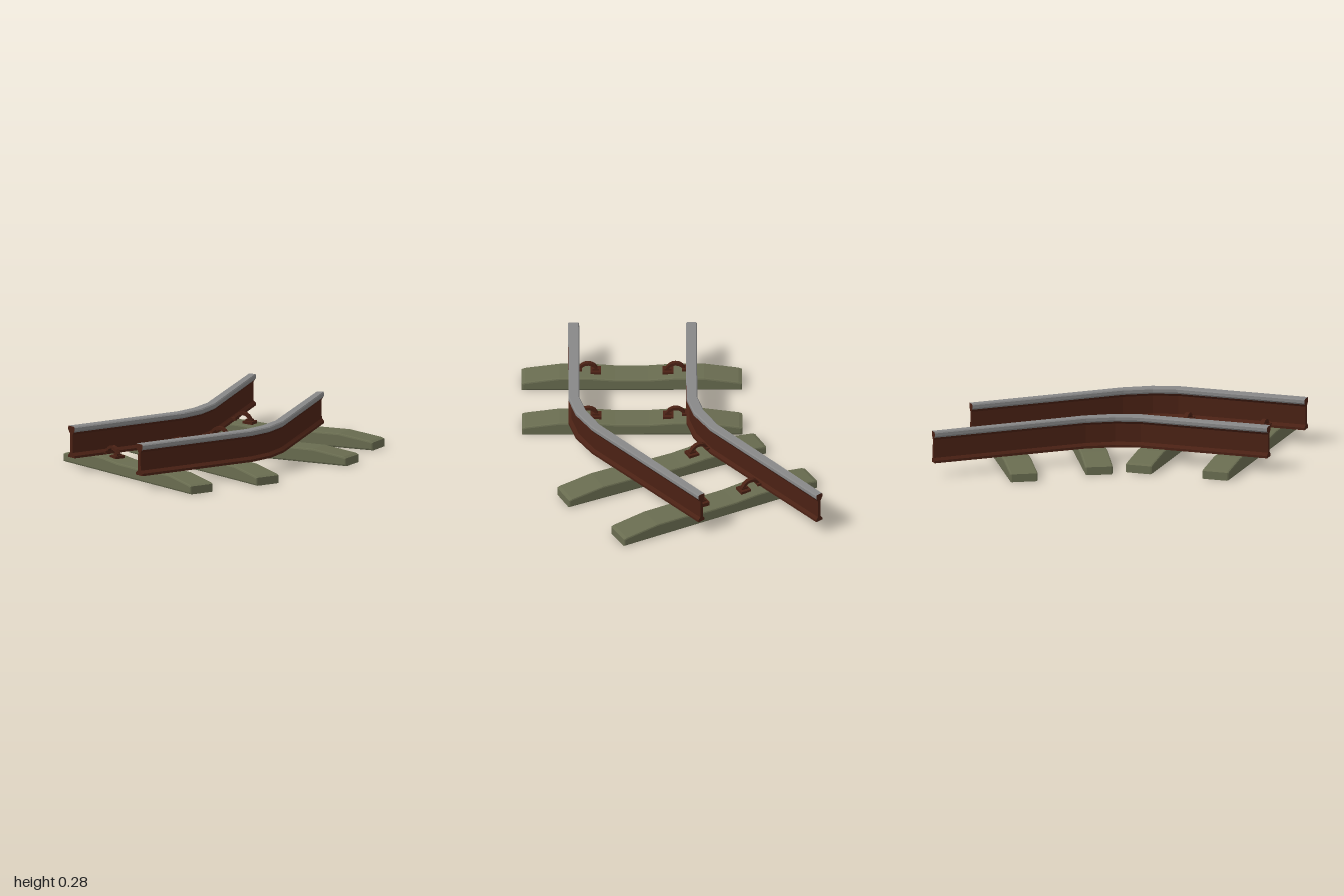
import * as THREE from 'three';

const paint = (color) => new THREE.MeshStandardMaterial({ color, flatShading: true });
const rust = paint(0x4a2114);
const steel = paint(0x888888);
const concrete = paint(0x696c50);

// Track centre of one rail: x, z, width factor
const railPath = [
  [-1, 0, 1], [-0.2, 0, 1], [-0.05, -0.04, 1], [0.11, -0.13, 0.87], [0.85, -0.755, 0.72],
];

// Rail cross-section: right half from foot to top, then mirrored
const half = [
  [0.033, 0.085], [0.033, 0.099], [0.014, 0.115], [0.012, 0.225],
  [0.024, 0.24], [0.033, 0.25], [0.033, 0.268], [0.027, 0.275],
];
const section = [...half, ...half.map(([u, v]) => [-u, v]).reverse()];
const HEAD_START = 4, HEAD_END = 11;

// Places the section at every path point, square to the bend
function railRings() {
  return railPath.map(([x, z, w], i) => {
    const dir = new THREE.Vector2();
    for (const [a, b] of [[i - 1, i], [i, i + 1]]) {
      if (a < 0 || b >= railPath.length) continue;
      const step = new THREE.Vector2(railPath[b][0] - railPath[a][0], railPath[b][1] - railPath[a][1]);
      dir.add(step.normalize());
    }
    dir.normalize();
    return section.map(([u, v]) => [x - dir.y * u * w, v, z + dir.x * u * w]);
  });
}

// Skins the chosen section edges along the path, with optional end caps
function loft(useEdge, caps) {
  const rings = railRings(), n = section.length, pos = [];
  const tri = (a, b, c) => pos.push(...a, ...b, ...c);
  for (let i = 0; i < rings.length - 1; i++) {
    for (let j = 0; j < n; j++) {
      if (!useEdge(j)) continue;
      const k = (j + 1) % n, r = rings[i], s = rings[i + 1];
      tri(r[j], s[j], r[k]);
      tri(r[k], s[j], s[k]);
    }
  }
  if (caps) {
    const faces = THREE.ShapeUtils.triangulateShape(section.map(([u, v]) => new THREE.Vector2(u, v)), []);
    const last = rings[rings.length - 1];
    for (const [a, b, c] of faces) {
      tri(rings[0][a], rings[0][b], rings[0][c]);
      tri(last[a], last[c], last[b]);
    }
  }
  const geo = new THREE.BufferGeometry();
  geo.setAttribute('position', new THREE.Float32BufferAttribute(pos, 3));
  geo.computeVertexNormals();
  return geo;
}

// Extrudes a side profile (z, y) across x, centred
function sideExtrude(points, width, bevel) {
  const shape = new THREE.Shape(points.map(([z, y]) => new THREE.Vector2(z, y)));
  const geo = new THREE.ExtrudeGeometry(shape, {
    depth: width - 2 * bevel, bevelEnabled: bevel > 0, bevelSize: bevel,
    bevelThickness: bevel, bevelOffset: -bevel, bevelSegments: 2,
  });
  geo.translate(0, 0, -(width - 2 * bevel) / 2);
  return geo.rotateY(-Math.PI / 2);
}

function addMesh(parent, name, geo, mat) {
  const mesh = new THREE.Mesh(geo, mat);
  mesh.name = name;
  parent.add(mesh);
  return mesh;
}

// Sleeper with sloping ends and a shallow dip in the middle
const sleeperGeo = sideExtrude([
  [-0.655, 0], [0.655, 0], [0.655, 0.048], [0.635, 0.056], [0.43, 0.085], [0.25, 0.085], [0.1, 0.073],
  [-0.1, 0.073], [-0.25, 0.085], [-0.43, 0.085], [-0.635, 0.056], [-0.655, 0.048],
], 0.168, 0.01);

// Arched spring band of a clip, running towards +z
function archGeometry() {
  const outer = [], inner = [];
  for (let i = 0; i <= 8; i++) {
    const a = Math.PI * (1 - i / 8);
    outer.push([0.045 + 0.06 * Math.cos(a), 0.09 + 0.058 * Math.sin(a)]);
    inner.unshift([0.045 + 0.045 * Math.cos(a), 0.09 + 0.04 * Math.sin(a)]);
  }
  return sideExtrude([...outer, ...inner].reverse(), 0.026, 0);
}
const archGeo = archGeometry();

function makeClip() {
  const clip = new THREE.Group();
  clip.name = 'railClip';
  addMesh(clip, 'clipPlate', new THREE.BoxGeometry(0.068, 0.026, 0.064), rust).position.y = 0.083;
  addMesh(clip, 'clipSpring', archGeo, rust);
  addMesh(clip, 'clipFoot', new THREE.BoxGeometry(0.054, 0.014, 0.026), rust).position.set(0, 0.105, 0.095);
  addMesh(clip, 'clipPin', new THREE.BoxGeometry(0.03, 0.014, 0.04), rust).position.set(0, 0.1, 0);
  return clip;
}

export function createModel() {
  const model = new THREE.Group();
  model.name = 'curvedTrack';

  // Two parallel rails
  const bodyGeo = loft((j) => j < HEAD_START || j >= HEAD_END, true);
  const headGeo = loft((j) => j >= HEAD_START && j < HEAD_END, false);
  for (const [name, z] of [['backRail', -0.12], ['frontRail', 0.58]]) {
    const rail = new THREE.Group();
    rail.name = name;
    rail.position.z = z;
    addMesh(rail, 'railBody', bodyGeo, rust);
    addMesh(rail, 'railHead', headGeo, steel);
    model.add(rail);
  }

  // Sleepers: x, z, turn in degrees, back clip and front clip along the sleeper
  const sleepers = [
    [-0.765, 0.235, 0, -0.215, 0.215],
    [-0.285, 0.235, 0, -0.215, 0.215],
    [0.215, 0.06, 26.1, -0.2, 0.1],
    [0.61, -0.25, 28.5, -0.2, 0.08],
  ];
  for (const [x, z, turn, backClip, frontClip] of sleepers) {
    const group = new THREE.Group();
    group.name = 'sleeper';
    group.position.set(x, 0, z);
    group.rotation.y = THREE.MathUtils.degToRad(turn);
    addMesh(group, 'sleeperBeam', sleeperGeo, concrete);
    const back = makeClip(), front = makeClip();
    back.position.z = backClip;
    back.rotation.y = Math.PI;
    front.position.z = frontClip;
    group.add(back, front);
    model.add(group);
  }
  return model;
}
